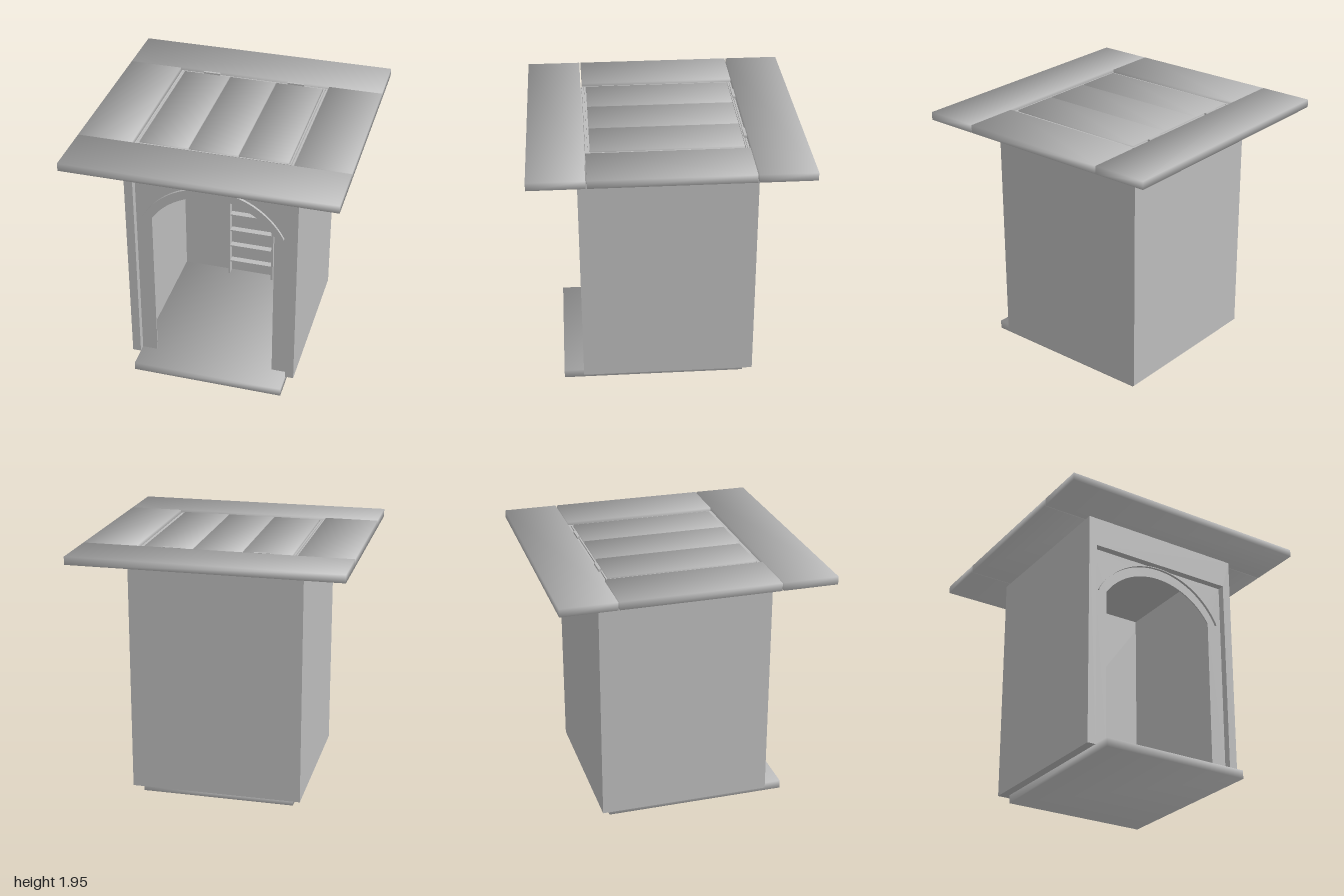
import * as THREE from 'three';

const grey = new THREE.MeshStandardMaterial({ color: 0xbcbcbc });
grey.name = 'plainGrey';

export function createModel() {
  const model = new THREE.Group();
  model.name = 'hatchTower';

  const add = (name, geometry, parent = model) => {
    const mesh = new THREE.Mesh(geometry, grey);
    mesh.name = name;
    parent.add(mesh);
    return mesh;
  };

  // Box given by its limits on each axis
  const box = (name, [x0, x1], [y0, y1], [z0, z1], parent, soft = false) => {
    const g = new THREE.BoxGeometry(x1 - x0, y1 - y0, z1 - z0);
    if (soft) {
      // Corner normals point diagonally, so the flat board shades softly
      const p = g.attributes.position, n = g.attributes.normal, k = 1 / Math.sqrt(3);
      for (let i = 0; i < p.count; i++) {
        n.setXYZ(i, Math.sign(p.getX(i)) * k, Math.sign(p.getY(i)) * k, Math.sign(p.getZ(i)) * k);
      }
    }
    const mesh = add(name, g, parent);
    mesh.position.set((x0 + x1) / 2, (y0 + y1) / 2, (z0 + z1) / 2);
    return mesh;
  };

  const plate = (name, shape, depth, z) => {
    const g = new THREE.ExtrudeGeometry(shape, { depth, bevelEnabled: false, curveSegments: 32 });
    g.translate(0, 0, z);
    return add(name, g);
  };

  const OUT = 0.65, IN = 0.585, BASE = 0.065, TOP = 1.89, ROOF = 1.95;

  // Floor slab, reaching out as a doorstep
  box('floor', [-IN, IN], [0, BASE], [-IN, 0.8], model, true);

  // Back and side walls
  box('backWall', [-OUT, OUT], [BASE, TOP], [-OUT, -IN]);
  box('leftWall', [IN, OUT], [BASE, TOP], [-IN, IN]);
  box('rightWall', [-OUT, -IN], [BASE, TOP], [-IN, IN]);

  // Front wall with a square doorway
  const front = new THREE.Shape();
  front.moveTo(-OUT, BASE);
  front.lineTo(-IN, BASE);
  front.lineTo(-IN, 1.66);
  front.lineTo(IN, 1.66);
  front.lineTo(IN, BASE);
  front.lineTo(OUT, BASE);
  front.lineTo(OUT, TOP);
  front.lineTo(-OUT, TOP);
  plate('frontWall', front, OUT - IN, IN);

  // Thin recessed panel with an arched opening
  const radius = 0.557, centreY = 1.015, half = 0.465;
  const angle = Math.acos(half / radius);
  const panel = new THREE.Shape();
  panel.moveTo(-IN, BASE);
  panel.lineTo(-half, BASE);
  panel.lineTo(-half, centreY + radius * Math.sin(angle));
  panel.absarc(0, centreY, radius, Math.PI - angle, angle, true);
  panel.lineTo(half, BASE);
  panel.lineTo(IN, BASE);
  panel.lineTo(IN, 1.66);
  panel.lineTo(-IN, 1.66);
  plate('archPanel', panel, 0.01, IN);

  // Slim moulding following the arch
  const trim = new THREE.Shape();
  const trimAngle = Math.acos(0.54 / 0.603);
  trim.absarc(0, 1.052, 0.603, trimAngle, Math.PI - trimAngle, false);
  trim.absarc(0, 1.052, 0.597, Math.PI - trimAngle, trimAngle, true);
  plate('archTrim', trim, 0.02, 0.595);

  // Ladder on the back wall
  const ladder = new THREE.Group();
  ladder.name = 'ladder';
  model.add(ladder);
  for (const s of [-1, 1]) {
    const x = s * 0.187;
    box('ladderRail', [x - 0.008, x + 0.008], [BASE, 1.86], [-IN, -0.52], ladder);
  }
  for (let i = 0; i < 11; i++) {
    const y = 0.19 + i * 0.157;
    box('ladderRung', [-0.18, 0.18], [y - 0.006, y + 0.006], [-IN, -0.53], ladder);
  }

  // Roof border: two full-width boards and two shorter ones
  for (const s of [-1, 1]) {
    const a = s * 0.593, b = s;
    const span = [Math.min(a, b), Math.max(a, b)];
    box('longRoofBoard', [-1, 1], [TOP, ROOF], span, model, true);
    box('shortRoofBoard', span, [TOP, ROOF], [-0.583, 0.583], model, true);
  }

  // Stepped frame around the hatch
  const hatch = new THREE.Group();
  hatch.name = 'hatch';
  model.add(hatch);
  const frame = (outer, inner, top) => {
    for (const s of [-1, 1]) {
      const span = s > 0 ? [inner, outer] : [-outer, -inner];
      box('hatchFrame', span, [TOP - 0.01, top], [-outer, outer], hatch);
      box('hatchFrame', [-inner, inner], [TOP - 0.01, top], span, hatch);
    }
  };
  frame(0.583, 0.57, 1.93);
  frame(0.566, 0.555, 1.935);
  box('hatchBacking', [-0.57, 0.57], [TOP - 0.01, TOP + 0.01], [-0.57, 0.57], hatch);

  // Hatch planks and hinges
  for (let i = -1; i <= 1; i++) {
    const x = i * 0.367;
    box('hatchPlank', [x - 0.18, x + 0.18], [TOP, 1.943], [-0.55, 0.55], hatch, true);
  }
  for (const s of [-1, 1]) {
    const x = s * 0.335;
    box('hinge', [x - 0.065, x + 0.065], [1.925, 1.949], [-0.583, -0.562], hatch);
  }

  return model;
}
